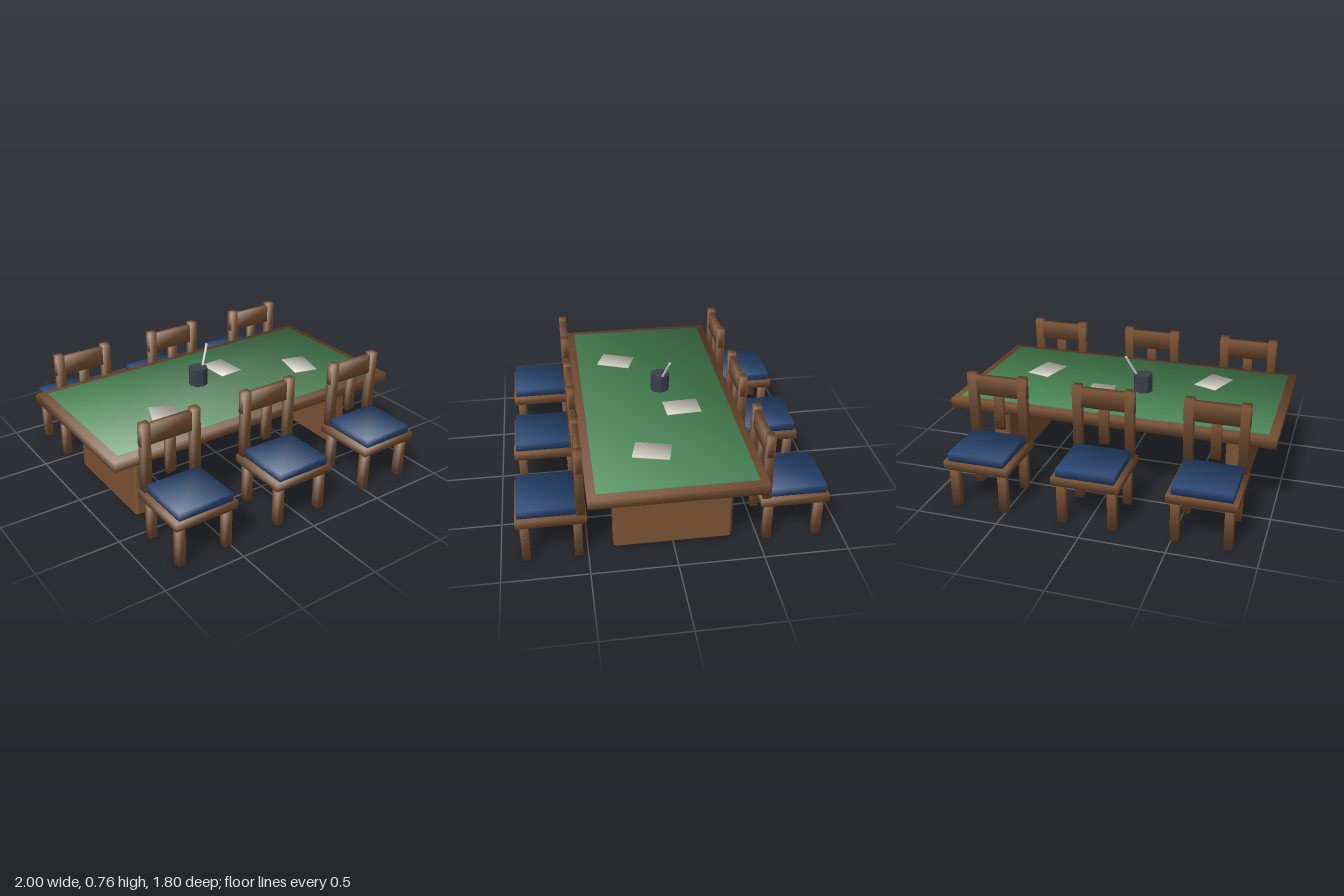
import * as THREE from 'three';
import { ConvexGeometry } from 'three/addons/geometries/ConvexGeometry.js';

const wood = new THREE.MeshStandardMaterial({ color: 0x7a5233 });
const felt = new THREE.MeshStandardMaterial({ color: 0x4f8f5c });
const fabric = new THREE.MeshStandardMaterial({ color: 0x2b4a78 });
const paperMat = new THREE.MeshStandardMaterial({ color: 0xd8d4c8 });
const dark = new THREE.MeshStandardMaterial({ color: 0x3a3f4a, flatShading: true });
const metal = new THREE.MeshStandardMaterial({ color: 0xcccccc });
const flatWood = new THREE.MeshStandardMaterial({ color: 0x7a5233, flatShading: true });

function add(parent, name, geometry, material, x, y, z) {
  const mesh = new THREE.Mesh(geometry, material);
  mesh.name = name;
  mesh.position.set(x, y, z);
  parent.add(mesh);
  return mesh;
}

// Box whose corner normals are averaged, so the shading runs softly over its edges
function softBox(w, h, d) {
  const g = new THREE.BoxGeometry(w, h, d);
  const p = g.attributes.position, n = g.attributes.normal, k = 1 / Math.sqrt(3);
  for (let i = 0; i < p.count; i++) {
    n.setXYZ(i, Math.sign(p.getX(i)) * k, Math.sign(p.getY(i)) * k, Math.sign(p.getZ(i)) * k);
  }
  return g;
}

// Box with all edges cut at 45 degrees
function chamferBox(w, h, d, c) {
  const pts = [];
  for (const sx of [-1, 1]) for (const sy of [-1, 1]) for (const sz of [-1, 1]) {
    const x = w / 2, y = h / 2, z = d / 2;
    pts.push(
      new THREE.Vector3(sx * x, sy * (y - c), sz * (z - c)),
      new THREE.Vector3(sx * (x - c), sy * y, sz * (z - c)),
      new THREE.Vector3(sx * (x - c), sy * (y - c), sz * z));
  }
  return new ConvexGeometry(pts);
}

// Chair facing +z, with its origin below the middle of the seat
function createChair() {
  const chair = new THREE.Group();
  chair.name = 'chair';
  add(chair, 'seatFrame', softBox(0.395, 0.05, 0.4), wood, 0, 0.275, 0);
  add(chair, 'cushion', softBox(0.342, 0.052, 0.33), fabric, 0, 0.326, 0.022);
  for (const s of [-1, 1]) {
    add(chair, 'frontLeg', softBox(0.048, 0.25, 0.048), wood, s * 0.151, 0.125, 0.153);
    add(chair, 'backLeg', softBox(0.048, 0.25, 0.048), wood, s * 0.151, 0.125, -0.147);
    add(chair, 'backPost', softBox(0.052, 0.42, 0.048), wood, s * 0.159, 0.51, -0.169);
  }
  add(chair, 'topRail', softBox(0.378, 0.118, 0.036), wood, 0, 0.645, -0.172);
  add(chair, 'backSplat', softBox(0.058, 0.25, 0.03), wood, 0, 0.49, -0.172);
  return chair;
}

export function createModel() {
  const model = new THREE.Group();
  model.name = 'meetingTable';

  // Table
  add(model, 'tableTop', softBox(2, 0.06, 1), wood, 0, 0.484, 0);
  add(model, 'feltTop', softBox(1.9, 0.02, 0.9), felt, 0, 0.511, 0);
  for (const s of [-1, 1]) {
    add(model, 'pedestal', chamferBox(0.108, 0.456, 0.7, 0.015), flatWood, s * 0.747, 0.228, 0);
  }

  // Three chairs along each long side, backs against the table
  for (const side of [-1, 1]) {
    for (const column of [-1, 0, 1]) {
      const chair = createChair();
      chair.position.set(column * 0.665 - 0.002, 0, side * 0.7);
      if (side < 0) chair.rotation.y = Math.PI;
      model.add(chair);
    }
  }

  // Sheets of paper: x, z, turn
  for (const [x, z, turn] of [[0.147, -0.153, 0.06], [0.6, 0.096, -0.25], [-0.505, 0.195, -0.36]]) {
    add(model, 'paper', softBox(0.155, 0.006, 0.217), paperMat, x, 0.523, z).rotation.y = turn;
  }

  // Pen pot and leaning pen
  add(model, 'penPot', new THREE.CylinderGeometry(0.06, 0.06, 0.112, 8), dark, -0.104, 0.576, -0.05);
  const foot = new THREE.Vector3(-0.075, 0.6, -0.053), tip = new THREE.Vector3(-0.004, 0.752, -0.1);
  const dir = tip.clone().sub(foot);
  const pen = add(model, 'pen', new THREE.CylinderGeometry(0.008, 0.008, dir.length(), 8), metal, 0, 0, 0);
  pen.position.copy(foot).lerp(tip, 0.5);
  pen.quaternion.setFromUnitVectors(new THREE.Vector3(0, 1, 0), dir.normalize());

  return model;
}
